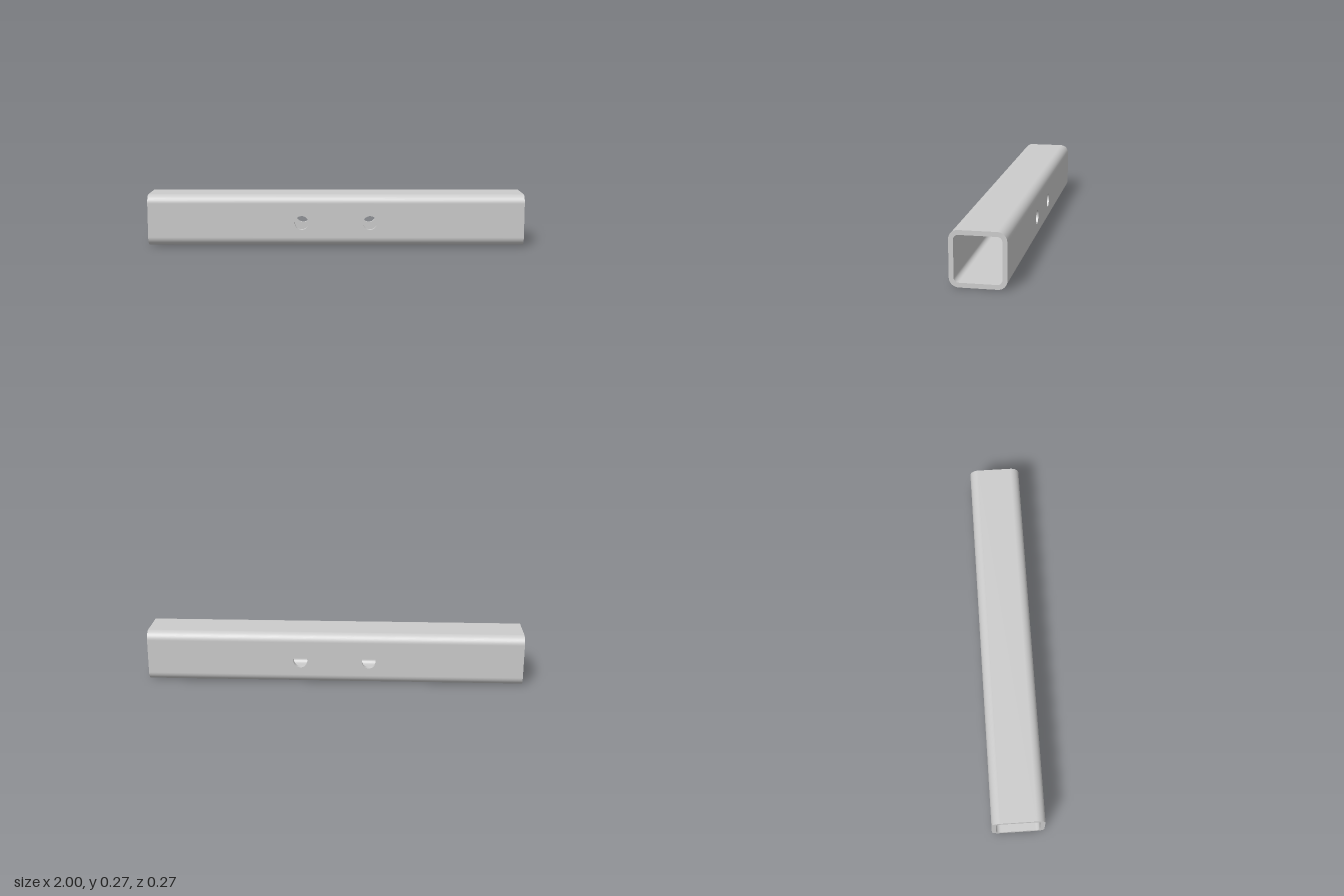
import * as THREE from 'three';

const LENGTH = 2, SIZE = 0.273, WALL = 0.023, RADIUS = 0.046;
const FLAT = SIZE / 2 - RADIUS;            // half width of each flat side
const HOLE_X = [-0.182, 0.182], HOLE_Y = -0.0125, HOLE_R = 0.037;

// Half of the tube skin: two rounded corners joined by a flat, swept along x
function skinGeometry(radius, inward) {
  const steps = 12, sign = inward ? -1 : 1;
  const pos = [], nor = [], idx = [];
  for (const corner of [0, 1]) {
    for (let i = 0; i <= steps; i++) {
      const a = (corner + i / steps) * Math.PI / 2;
      const c = Math.cos(a), s = Math.sin(a);
      for (const x of [-LENGTH / 2, LENGTH / 2]) {
        pos.push(x, FLAT + s * radius, (corner ? -FLAT : FLAT) + c * radius);
        nor.push(0, s * sign, c * sign);
      }
    }
  }
  for (let k = 0; k < pos.length / 3 - 2; k += 2) {
    if (inward) idx.push(k, k + 3, k + 1, k, k + 2, k + 3);
    else idx.push(k, k + 1, k + 3, k, k + 3, k + 2);
  }
  const g = new THREE.BufferGeometry();
  g.setAttribute('position', new THREE.Float32BufferAttribute(pos, 3));
  g.setAttribute('normal', new THREE.Float32BufferAttribute(nor, 3));
  g.setIndex(idx);
  return g;
}

// Rounded square outline, added to a shape or a hole path
function roundedSquare(path, radius) {
  [[1, 1], [-1, 1], [-1, -1], [1, -1]].forEach(([sx, sy], i) =>
    path.absarc(sx * FLAT, sy * FLAT, radius, i * Math.PI / 2, (i + 1) * Math.PI / 2, false));
  path.closePath();
  return path;
}

export function createModel() {
  const model = new THREE.Group();
  model.name = 'squareTube';
  const tube = new THREE.Group();
  tube.name = 'tube';
  tube.position.y = SIZE / 2;
  model.add(tube);

  const material = new THREE.MeshStandardMaterial({ color: 0xcccccc });
  const boreMaterial = new THREE.MeshStandardMaterial({ color: 0xcccccc, side: THREE.DoubleSide });
  const add = (name, geometry, mat = material) => {
    const mesh = new THREE.Mesh(geometry, mat);
    mesh.name = name;
    tube.add(mesh);
    return mesh;
  };

  // Top and bottom with their rounded corners, outside and inside
  for (const [name, turn] of [['top', 0], ['bottom', Math.PI]]) {
    add(name + 'OuterSkin', skinGeometry(RADIUS, false)).rotation.x = turn;
    add(name + 'InnerSkin', skinGeometry(RADIUS - WALL, true)).rotation.x = turn;
  }

  // Flat front and back panels pierced by the bolt holes
  const panel = new THREE.Shape();
  panel.moveTo(-LENGTH / 2, -FLAT).lineTo(LENGTH / 2, -FLAT);
  panel.lineTo(LENGTH / 2, FLAT).lineTo(-LENGTH / 2, FLAT).closePath();
  for (const x of HOLE_X) {
    panel.holes.push(new THREE.Path().absarc(x, HOLE_Y, HOLE_R, 0, Math.PI * 2, true));
  }
  const panelGeometry = new THREE.ShapeGeometry(panel, 24);
  for (const [name, side] of [['front', 1], ['back', -1]]) {
    const outer = add(name + 'OuterPanel', panelGeometry);
    outer.position.z = side * SIZE / 2;
    outer.rotation.y = side > 0 ? 0 : Math.PI;
    const inner = add(name + 'InnerPanel', panelGeometry);
    inner.position.z = side * (SIZE / 2 - WALL);
    inner.rotation.y = side > 0 ? Math.PI : 0;

    // Bores through the wall thickness
    for (const x of HOLE_X) {
      const bore = new THREE.CylinderGeometry(HOLE_R, HOLE_R, WALL, 48, 1, true).rotateX(Math.PI / 2);
      add(name + 'HoleBore', bore, boreMaterial).position.set(x, HOLE_Y, side * (SIZE - WALL) / 2);
    }
  }

  // Ring-shaped cut ends
  const ring = roundedSquare(new THREE.Shape(), RADIUS);
  ring.holes.push(roundedSquare(new THREE.Path(), RADIUS - WALL));
  const ringGeometry = new THREE.ShapeGeometry(ring, 12);
  for (const [name, side] of [['left', 1], ['right', -1]]) {
    const end = add(name + 'End', ringGeometry);
    end.position.x = side * LENGTH / 2;
    end.rotation.y = side * Math.PI / 2;
  }
  return model;
}
